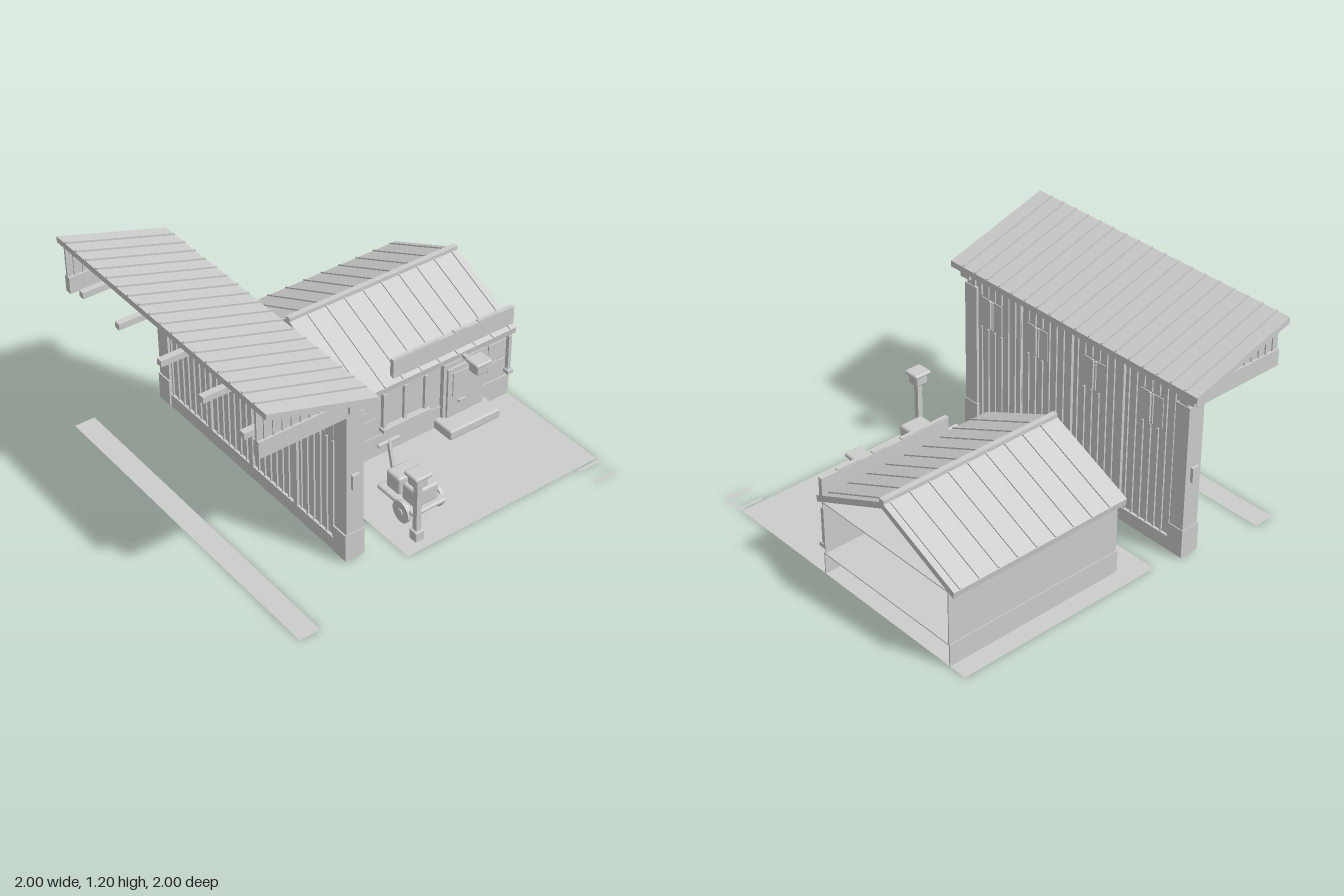
import * as THREE from 'three';
import { RoundedBoxGeometry } from 'three/addons/geometries/RoundedBoxGeometry.js';

const plain = new THREE.MeshStandardMaterial({ color: 0xcccccc, side: THREE.DoubleSide });
plain.name = 'plain grey';

export function createModel() {
  const model = new THREE.Group();

  function part(parent, name) {
    const g = new THREE.Group();
    g.name = name;
    parent.add(g);
    return g;
  }
  function add(parent, name, geometry) {
    const m = new THREE.Mesh(geometry, plain);
    m.name = name;
    parent.add(m);
    return m;
  }
  // box given by its limits on each axis
  function box(parent, name, x0, x1, y0, y1, z0, z1, radius = 0) {
    const s = [x1 - x0, y1 - y0, z1 - z0];
    const geo = radius ? new RoundedBoxGeometry(...s, 2, radius) : new THREE.BoxGeometry(...s);
    const m = add(parent, name, geo);
    m.position.set((x0 + x1) / 2, (y0 + y1) / 2, (z0 + z1) / 2);
    return m;
  }
  // profile of points extruded; along x the points are (-z, y)
  function prism(parent, name, points, start, depth, alongX) {
    const shape = new THREE.Shape(points.map(p => new THREE.Vector2(...p)));
    const geo = new THREE.ExtrudeGeometry(shape, { depth, bevelEnabled: false });
    if (alongX) geo.rotateY(Math.PI / 2);
    const m = add(parent, name, geo);
    m.position[alongX ? 'x' : 'z'] = start;
    return m;
  }
  function sheet(parent, name, x0, x1, z0, z1, y) {
    const m = add(parent, name, new THREE.PlaneGeometry(x1 - x0, z1 - z0).rotateX(-Math.PI / 2));
    m.position.set((x0 + x1) / 2, y, (z0 + z1) / 2);
  }

  // ground pieces
  const ground = part(model, 'ground');
  sheet(ground, 'pavement', -0.24, 1, -0.9, 0.85, 0.002);
  sheet(ground, 'platformStrip', -1, -0.88, -1, 1, 0.002);
  for (const z of [0.86, 0.975]) sheet(ground, 'bayLine', 0.86, 1, z, z + 0.02, 0.002);
  sheet(ground, 'bayLine', 0.99, 1, 0.86, 0.995, 0.002);

  // tall wall with battens, posts and high windows
  const hall = part(model, 'hall');
  box(hall, 'wall', -0.485, -0.415, 0, 0.94, -0.92, 0.69);
  box(hall, 'plinth', -0.5, -0.4, 0, 0.08, -0.93, 0.7);
  for (const [z0, z1] of [[0.61, 0.7], [-0.93, -0.84]]) {
    box(hall, 'endPost', -0.502, -0.4, 0, 0.89, z0, z1);
    box(hall, 'postFoot', -0.51, -0.395, 0.01, 0.17, z0 - 0.004, z1 + 0.004);
    box(hall, 'postHead', -0.49, -0.405, 0.86, 0.97, z0 + 0.015, z1 - 0.015);
  }
  for (const z of [0.705, -0.935]) box(hall, 'wallLamp', -0.475, -0.432, 0.45, 0.535, z - 0.012, z + 0.012);
  for (const z of [0.28, -0.1, -0.47]) box(hall, 'post', -0.5, -0.398, 0.03, 0.96, z - 0.016, z + 0.016);
  const windows = [0.5, 0.15, -0.27, -0.67];
  for (let i = 0; i < 28; i++) {
    const z = 0.58 - i * 0.052;
    const cut = windows.some(w => Math.abs(w - z) < 0.085);
    for (const [a, b] of cut ? [[0.08, 0.67], [0.86, 0.935]] : [[0.08, 0.935]])
      for (const x of [-0.488, -0.412]) box(hall, 'batten', x - 0.006, x + 0.006, a, b, z - 0.005, z + 0.005);
  }
  for (const w of windows) for (const s of [-1, 1]) {
    const z = w + s * 0.042;
    box(hall, 'windowPane', -0.488, -0.41, 0.68, 0.85, z - 0.035, z + 0.035);
    box(hall, 'mullion', -0.49, -0.403, 0.68, 0.85, z - s * 0.032 - 0.005, z - s * 0.032 + 0.005);
  }

  // single-slope roof with raised seams
  const roofY = x => 1.195 - (x + 1) * 0.31;
  const slope = -Math.atan(0.31);
  prism(hall, 'roof', [[-1, roofY(-1) - 0.038], [-0.37, roofY(-0.37) - 0.038],
    [-0.37, roofY(-0.37) - 0.004], [-1, roofY(-1) - 0.004]], -1, 1.775);
  for (let i = 0; i < 18; i++) {
    const seam = add(hall, 'roofSeam', new THREE.BoxGeometry(0.655, 0.012, 0.01));
    seam.position.set(-0.685, roofY(-0.685), 0.68 - i * 0.094);
    seam.rotation.z = slope;
  }
  // gable ends: beam, boarded triangle and battens
  for (const z of [0.69, -0.93]) {
    box(hall, 'gableBeam', -1, -0.43, 0.895, 0.99, z - 0.02, z + 0.02);
    prism(hall, 'gablePanel', [[-1, 0.98], [-0.46, 0.98], [-1, roofY(-1) - 0.03]], z - 0.006, 0.012);
    for (let x = -0.96; x < -0.52; x += 0.05)
      box(hall, 'gableBatten', x - 0.004, x + 0.004, 0.98, roofY(x) - 0.036, z - 0.013, z + 0.013);
    box(hall, 'beamBracket', -0.5, -0.39, 0.92, 0.965, z - 0.035, z + 0.035);
  }
  for (const z of [0.58, 0.25, -0.1, -0.47, -0.8]) {
    box(hall, 'crossBeam', -1, -0.41, 0.935, 0.97, z - 0.018, z + 0.018);
    box(hall, 'beamEnd', -0.42, -0.39, 0.95, 0.98, z - 0.03, z + 0.03);
  }

  // low building, cut open at its right edge
  const house = part(model, 'station');
  function openShell(name, x0, y0, y1, z0, z1) {
    const g = part(house, name), e = 0.006;
    box(g, 'frontWall', x0, 1, y0, y1, z1 - e, z1);
    box(g, 'backWall', x0, 1, y0, y1, z0, z0 + e);
    box(g, 'endWall', x0, x0 + e, y0, y1, z0, z1);
    box(g, 'ceiling', x0, 1, y1 - e, y1, z0, z1);
  }
  openShell('baseCourse', -0.085, 0, 0.13, -0.795, 0.152);
  openShell('walls', -0.08, 0.13, 0.44, -0.79, 0.145);

  // pitched roof, gable and seams
  const ridgeZ = -0.32;
  prism(house, 'pitchedRoof', [[-0.19, 0.455], [0.32, 0.688], [0.83, 0.455], [0.825, 0.42],
    [0.32, 0.652], [-0.185, 0.42]], -0.1, 1.1, true);
  prism(house, 'gable', [[-0.14, 0.44], [0.32, 0.655], [0.78, 0.44]], -0.08, 0.01, true);
  for (let z = -0.68; z < 0.06; z += 0.06)
    box(house, 'gableBatten', -0.084, -0.066, 0.44, 0.652 - Math.abs(z - ridgeZ) * 0.46, z - 0.004, z + 0.004);
  const pitch = Math.atan2(0.233, 0.51);
  for (let i = 0; i < 9; i++) for (const s of [-1, 1]) {
    const seam = add(house, 'roofSeam', new THREE.BoxGeometry(0.008, 0.01, 0.555));
    seam.position.set(0.013 + i * 0.1185, 0.574, ridgeZ + s * 0.255);
    seam.rotation.x = s * pitch;
  }
  box(house, 'ridgeCap', -0.1, 1, 0.68, 0.703, ridgeZ - 0.016, ridgeZ + 0.016);

  // blank board along the eave
  box(house, 'fasciaBoard', 0.2, 1, 0.455, 0.575, 0.14, 0.165);
  for (const [a, b] of [[0.2, 0.5], [0.6, 0.68], [0.76, 0.9]])
    box(house, 'boardTrim', a, b, 0.57, 0.582, 0.142, 0.163);

  // staggered wall blocks around the openings
  for (let row = 0; row < 5; row++) for (let i = 0; i < 9; i++) {
    const x0 = -0.078 + i * 0.124 + (row % 2) * 0.06, x1 = Math.min(x0 + 0.118, 1);
    if ((x1 > 0.14 && x0 < 0.43) || (x1 > 0.53 && x0 < 0.8) || x1 > 0.98) continue;
    box(house, 'wallBlock', x0, x1, 0.134 + row * 0.061, 0.19 + row * 0.061, 0.144, 0.151);
  }

  // windows
  function houseWindow(x0, x1, posts) {
    const g = part(house, 'window');
    box(g, 'pane', x0, x1, 0.175, 0.39, 0.143, 0.15);
    for (const x of posts) box(g, 'windowPost', x, Math.min(x + 0.02, 1), 0.175, 0.39, 0.145, 0.168);
    box(g, 'sill', x0 - 0.01, Math.min(x1 + 0.01, 1), 0.155, 0.178, 0.14, 0.185);
    box(g, 'lintel', x0, x1, 0.385, 0.4, 0.143, 0.16);
  }
  houseWindow(0.14, 0.43, [0.14, 0.275, 0.41]);
  houseWindow(0.975, 1, [0.975]);

  // door and steps
  const door = part(house, 'entrance');
  box(door, 'doorFrame', 0.53, 0.805, 0.06, 0.4, 0.14, 0.172);
  box(door, 'doorLeaf', 0.55, 0.785, 0.06, 0.37, 0.17, 0.185);
  box(door, 'doorPane', 0.58, 0.74, 0.19, 0.34, 0.184, 0.192);
  box(door, 'handlePlate', 0.62, 0.665, 0.14, 0.155, 0.184, 0.198);
  box(door, 'step', 0.49, 0.83, 0, 0.06, 0.14, 0.29, 0.012);

  // lanterns: one over the door, one on a pole
  function lantern(parent, name, x, y, z) {
    const g = part(parent, name);
    g.position.set(x, y, z);
    box(g, 'lanternBody', -0.037, 0.037, 0, 0.06, -0.037, 0.037, 0.01);
    box(g, 'lanternCap', -0.053, 0.053, 0.055, 0.08, -0.05, 0.05, 0.011);
    return g;
  }
  const doorLamp = lantern(house, 'doorLantern', 0.645, 0.4, 0.305);
  box(doorLamp, 'lampArm', -0.01, 0.01, 0.02, 0.04, -0.17, -0.03);
  const poleLamp = lantern(model, 'poleLantern', -0.122, 0.345, 0.77);
  box(poleLamp, 'poleFoot', -0.027, 0.027, -0.345, -0.285, -0.027, 0.027, 0.006);
  box(poleLamp, 'pole', -0.015, 0.015, -0.29, 0, -0.015, 0.015);

  // luggage cart
  const cart = part(model, 'luggageCart');
  box(cart, 'deck', -0.1, 0.115, 0.075, 0.1, 0.42, 0.715, 0.012);
  box(cart, 'frontCase', -0.07, 0.08, 0.1, 0.205, 0.582, 0.69, 0.015);
  box(cart, 'rearCase', -0.07, 0.08, 0.1, 0.205, 0.455, 0.56, 0.015);
  for (const x of [-0.1, 0.115]) {
    const wheel = add(cart, 'wheel', new THREE.CylinderGeometry(0.062, 0.062, 0.02, 24).rotateZ(Math.PI / 2));
    wheel.position.set(x, 0.063, 0.625);
    const hub = add(cart, 'hub', new THREE.CylinderGeometry(0.02, 0.02, 0.032, 12).rotateZ(Math.PI / 2));
    hub.position.copy(wheel.position);
  }
  box(cart, 'axle', -0.1, 0.115, 0.055, 0.071, 0.617, 0.633);
  const shaft = add(cart, 'handleShaft', new THREE.BoxGeometry(0.018, 0.225, 0.018));
  shaft.position.set(0.008, 0.195, 0.405);
  shaft.rotation.x = -0.24;
  box(cart, 'handleBar', -0.062, 0.076, 0.285, 0.305, 0.367, 0.387, 0.006);

  // small chest by the tall wall
  const chest = part(model, 'chest');
  box(chest, 'chestBody', -0.38, -0.268, 0.02, 0.13, -0.225, -0.01, 0.012);
  box(chest, 'chestLid', -0.39, -0.262, 0.125, 0.148, -0.23, -0.03, 0.01);
  box(chest, 'chestPanel', -0.37, -0.285, 0.045, 0.115, -0.014, -0.004);

  return model;
}
